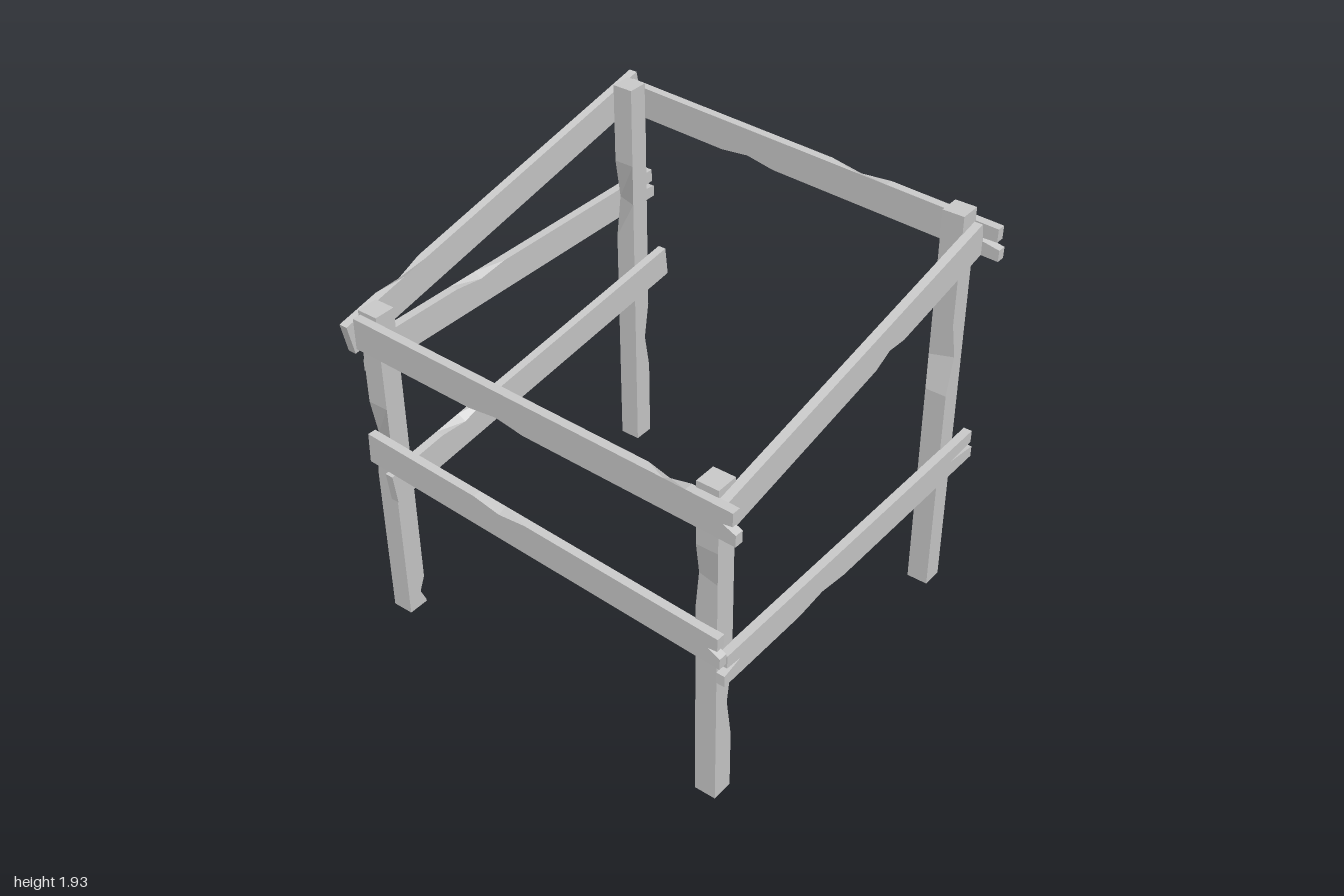
import * as THREE from 'three';

const material = new THREE.MeshStandardMaterial({ color: 0xcccccc, flatShading: true });
const V = (x, y, z) => new THREE.Vector3(x, y, z);

// Rough-hewn timber from a to b. Local x runs along it, local z is a x ref.
// chips: [position 0..1, edge +-1, face +-1, half length, depth]
// forkA, forkB: depth of the split at each end (0 for a plain end)
function timber(name, a, b, height, thick, { ref = V(0, 1, 0), chips = [], forkA = 0, forkB = 0 } = {}) {
  const L = a.distanceTo(b), l = L / 2, h = height / 2;
  const edge = (side) => chips
    .filter((c) => c[1] === side)
    .sort((p, q) => p[0] - q[0])
    .flatMap(([s, , , w, d]) => {
      const x = s * L - l;
      return [
        [Math.max(x - w, -l + 0.004), side * h],
        [x, side * (h - d)],
        [Math.min(x + w, l - 0.004), side * h],
      ];
    });
  // split end, listed upwards; the upper prong is a little shorter
  const fork = (dir, depth) => depth
    ? [[dir * l, -0.02], [dir * (l - depth), 0.004], [dir * (l - 0.015), 0.012]]
    : [];
  const outline = [
    [-l, -h], ...edge(-1), [l, -h], ...fork(1, forkB),
    [l - (forkB ? 0.015 : 0), h], ...edge(1).reverse(),
    [-l + (forkA ? 0.015 : 0), h], ...fork(-1, forkA).reverse(),
  ].map(([x, y]) => new THREE.Vector2(x, y));

  const geometry = new THREE.ExtrudeGeometry(new THREE.Shape(outline), { depth: thick, bevelEnabled: false });
  geometry.translate(0, 0, -thick / 2);

  // each chip bites into one face only: restore the edge on the other face
  const p = geometry.attributes.position;
  for (const [s, side, face, , d] of chips) {
    for (let i = 0; i < p.count; i++) {
      const atChip = Math.abs(p.getX(i) - (s * L - l)) < 1e-4 && Math.abs(p.getY(i) - side * (h - d)) < 1e-4;
      if (atChip && p.getZ(i) * face < 0) p.setY(i, side * h);
    }
  }
  geometry.computeVertexNormals();

  // orient along a -> b
  const X = b.clone().sub(a).normalize();
  const Z = X.clone().cross(ref).normalize();
  const Y = Z.clone().cross(X);
  const mesh = new THREE.Mesh(geometry, material);
  mesh.quaternion.setFromRotationMatrix(new THREE.Matrix4().makeBasis(X, Y, Z));
  mesh.position.copy(a).add(b).multiplyScalar(0.5);
  mesh.name = name;
  return mesh;
}

export function createModel() {
  const group = new THREE.Group();
  group.name = 'fencePen';

  // Corner posts (chip edge +1 is the -x side)
  const posts = [
    ['frontRightSidePost', -0.91, 0.825, 1.58, [[0.31, -1, 1, 0.2, 0.03], [0.72, 1, -1, 0.15, 0.02]]],
    ['frontLeftSidePost', 0.71, 0.825, 1.93, [[0.64, 1, 1, 0.18, 0.04], [0.31, -1, -1, 0.17, 0.03]]],
    ['backRightSidePost', -0.86, -0.91, 1.58, [[0.05, -1, 1, 0.07, 0.03], [0.6, 1, -1, 0.18, 0.03]]],
    ['backLeftSidePost', 0.77, -0.91, 1.93, [[0.3, -1, 1, 0.18, 0.03], [0.7, 1, -1, 0.2, 0.03]]],
  ];
  for (const [name, x, z, top, chips] of posts) {
    group.add(timber(name, V(x, 0, z), V(x, top, z), 0.1, 0.1, {
      ref: V(-1, 0, 0),
      chips: [...chips, [0.965, -1, -1, 0.05, 0.02]],
    }));
  }

  // Rails: name, start, end, details
  const rails = [
    ['frontLowerRail', V(-0.96, 0.72, 0.893), V(0.88, 0.695, 0.893),
      { forkA: 0.1, forkB: 0.18, chips: [[0.36, -1, 1, 0.16, 0.02]] }],
    ['frontUpperRail', V(-0.945, 1.47, 0.893), V(0.765, 1.795, 0.893),
      { chips: [[0.6, -1, 1, 0.1, 0.025]] }],
    ['backUpperRail', V(-0.965, 1.46, -0.98), V(0.9, 1.86, -0.98),
      { chips: [[0.18, 1, -1, 0.13, 0.025], [0.7, -1, -1, 0.12, 0.02]] }],
    ['backMiddleRail', V(-0.88, 1.325, -0.98), V(1, 1.315, -0.98),
      { forkA: 0.15, forkB: 0.18, chips: [[0.36, 1, 1, 0.15, 0.02], [0.6, -1, -1, 0.12, 0.02]] }],
    ['backLowerRail', V(-0.95, 0.75, -0.84), V(0.915, 0.97, -0.84),
      { chips: [[0.24, 1, 1, 0.14, 0.025], [0.65, -1, -1, 0.12, 0.02]] }],
    ['leftSideUpperRail', V(0.78, 1.79, 0.995), V(0.84, 1.835, -0.96),
      { forkA: 0.16, chips: [[0.36, 1, 1, 0.15, 0.02], [0.65, -1, -1, 0.14, 0.02]] }],
    ['rightSideUpperRail', V(-0.98, 1.475, 0.98), V(-0.93, 1.49, -0.95),
      { forkA: 0.06, chips: [[0.17, 1, 1, 0.1, 0.025], [0.6, -1, -1, 0.14, 0.02]] }],
    ['rightSideLowerRail', V(-0.98, 0.843, 0.92), V(-0.93, 0.915, -0.95),
      { forkA: 0.06, chips: [[0.23, -1, 1, 0.15, 0.025], [0.6, 1, -1, 0.14, 0.02]] }],
  ];
  for (const [name, a, b, details] of rails) group.add(timber(name, a, b, 0.146, 0.04, details));

  return group;
}
